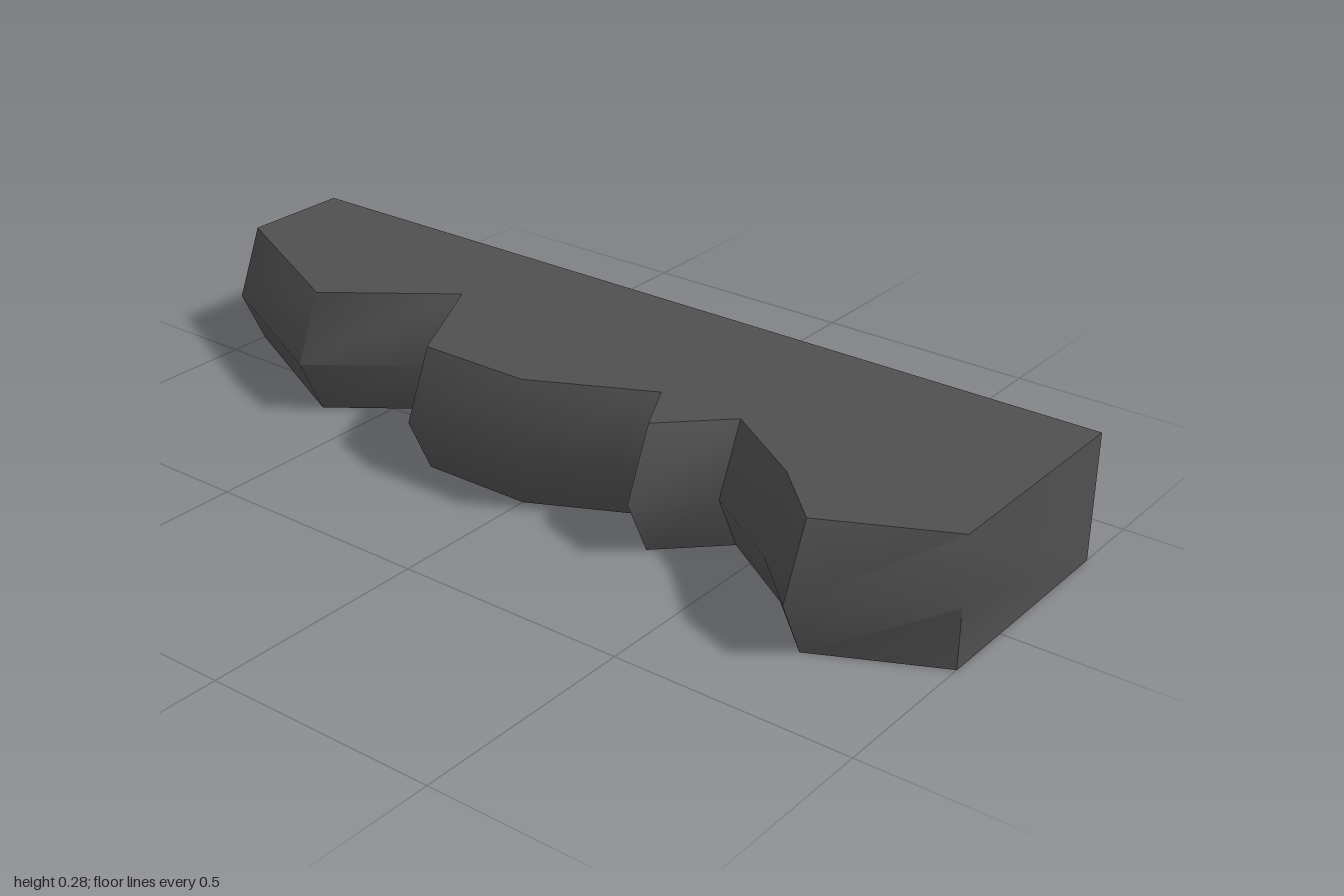
import * as THREE from 'three';
import { toCreasedNormals } from 'three/addons/utils/BufferGeometryUtils.js';

const HEIGHT = 0.275, RIDGE_Y = 0.126, BACK = -0.344;

// Jagged front rim: x, z of the top and bottom edge, z of the ridge between them
const RIM = [
  [-1, -0.094, -0.031], [-0.625, 0.094, 0.156], [-0.375, -0.094, -0.031],
  [-0.25, 0.156, 0.219], [0, 0.156, 0.219], [0.25, 0.031, 0.094],
  [0.3125, 0.156, 0.219], [0.4375, 0.031, 0.094], [0.625, 0.156, 0.219],
  [0.75, 0.281, 0.344], [1, 0.156, 0.156],
];

function ledgeGeometry() {
  const positions = [];
  const tri = (a, b, c) => positions.push(...a, ...b, ...c);
  const quad = (a, b, c, d) => { tri(a, b, c); tri(a, c, d); };

  const top = RIM.map(([x, z]) => [x, HEIGHT, z]);
  const ridge = RIM.map(([x, , z]) => [x, RIDGE_Y, z]);
  const bottom = RIM.map(([x, z]) => [x, 0, z]);
  const last = RIM.length - 1;

  // Front: two sloping bands meeting at the ridge
  for (let i = 0; i < last; i++) {
    quad(ridge[i], ridge[i + 1], top[i + 1], top[i]);
    quad(bottom[i], bottom[i + 1], ridge[i + 1], ridge[i]);
  }

  // Back wall and the two ends
  const lt = [-1, HEIGHT, BACK], lb = [-1, 0, BACK];
  const rt = [1, HEIGHT, BACK], rb = [1, 0, BACK];
  quad(rb, lb, lt, rt);
  quad(lb, bottom[0], top[0], lt);
  tri(bottom[0], ridge[0], top[0]);
  tri(rb, rt, top[last]);
  tri(rb, top[last], ridge[last]);
  tri(rb, ridge[last], bottom[last]);

  // Flat top and bottom, each turned to face outward
  const outline = [[-1, BACK], ...RIM, [1, BACK]].map(([x, z]) => new THREE.Vector2(x, z));
  for (const [i, j, k] of THREE.ShapeUtils.triangulateShape(outline, [])) {
    const [a, b, c] = [outline[i], outline[j], outline[k]];
    const area = (b.x - a.x) * (c.y - a.y) - (b.y - a.y) * (c.x - a.x);
    const up = area < 0 ? [a, b, c] : [a, c, b];
    tri(...up.map((p) => [p.x, HEIGHT, p.y]));
    tri(...up.reverse().map((p) => [p.x, 0, p.y]));
  }

  const geometry = new THREE.BufferGeometry();
  geometry.setAttribute('position', new THREE.Float32BufferAttribute(positions, 3));
  return toCreasedNormals(geometry, Math.PI / 3);
}

export function createModel() {
  const darkStone = new THREE.MeshStandardMaterial({ color: 0x505050 });
  darkStone.name = 'darkStone';

  const ledge = new THREE.Mesh(ledgeGeometry(), darkStone);
  ledge.name = 'rockLedge';

  const group = new THREE.Group();
  group.name = 'jaggedLedge';
  group.add(ledge);
  return group;
}
